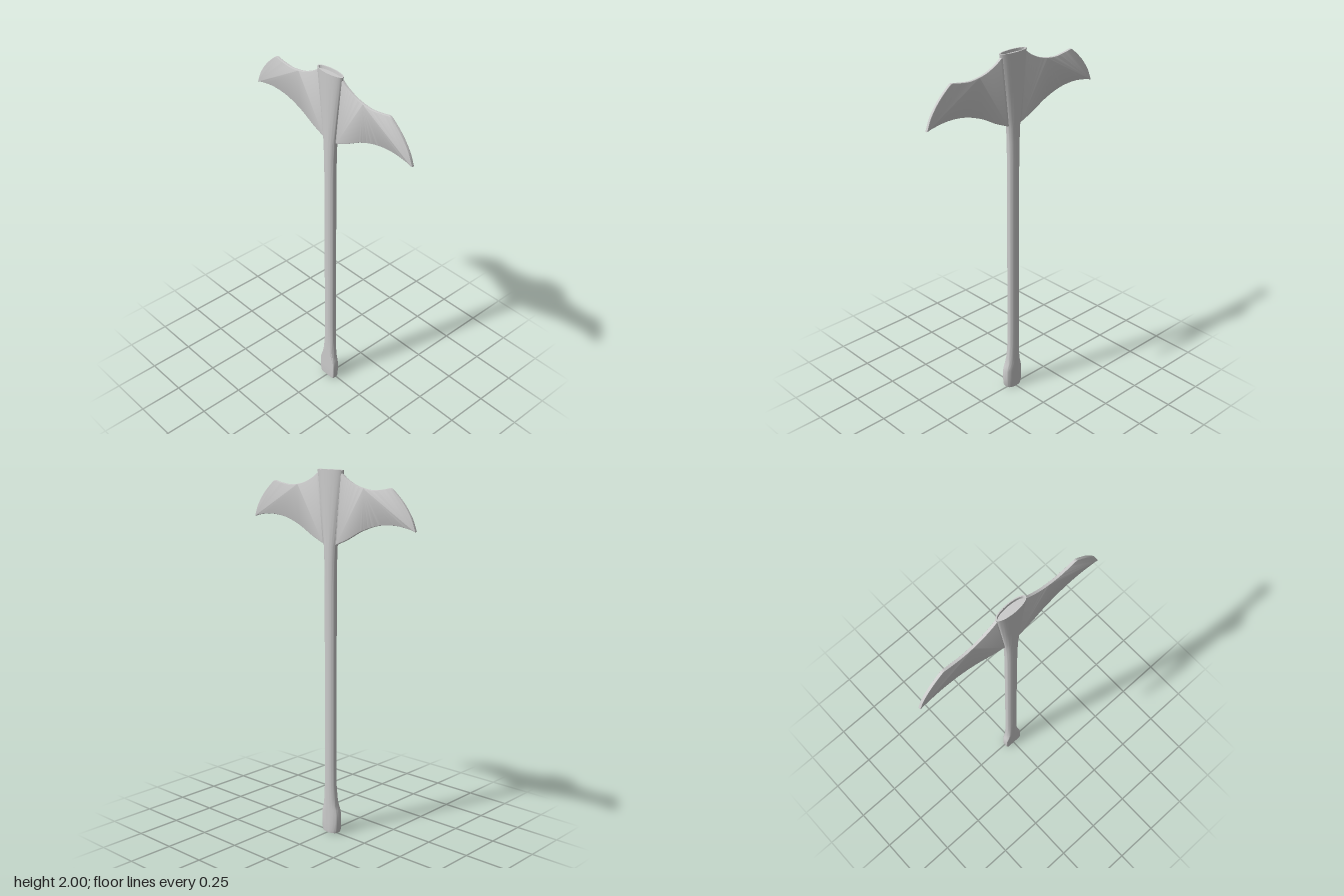
import * as THREE from 'three';
import { toCreasedNormals } from 'three/addons/utils/BufferGeometryUtils.js';

const material = new THREE.MeshStandardMaterial({ color: 0xcccccc, side: THREE.DoubleSide });

// Skin a stack of oval rings: [y, half width, half depth, front flatness (1 = oval)]
function loft(rings, sides = 40) {
  const pos = [], index = [];
  rings.forEach(([y, w, d, flat]) => {
    for (let i = 0; i < sides; i++) {
      const a = (i / sides) * Math.PI * 2, s = Math.sin(a);
      pos.push(w * Math.cos(a), y, s > 0 ? d * Math.min(1, s * flat) : d * s);
    }
  });
  for (let j = 0; j < rings.length - 1; j++) {
    for (let i = 0; i < sides; i++) {
      const n = (i + 1) % sides;
      const a = j * sides + i, b = j * sides + n, c = a + sides, e = b + sides;
      index.push(a, c, b, b, c, e);
    }
  }
  const g = new THREE.BufferGeometry();
  g.setAttribute('position', new THREE.Float32BufferAttribute(pos, 3));
  g.setIndex(index);
  return toCreasedNormals(g, 0.7);
}

// Half of the winged head, bevelled along its outline
function bladeGeometry() {
  const v = (list) => list.map(([x, y]) => new THREE.Vector2(x, y));
  const s = new THREE.Shape();
  s.moveTo(0.02, 1.98);
  s.lineTo(0.085, 1.98);
  s.splineThru(v([[0.125, 1.952], [0.195, 1.922], [0.28, 1.908], [0.35, 1.914], [0.40, 1.924]]));
  s.splineThru(v([[0.42, 1.916], [0.485, 1.857], [0.535, 1.79], [0.562, 1.727]]));
  s.splineThru(v([[0.52, 1.738], [0.43, 1.748], [0.325, 1.738], [0.22, 1.703], [0.125, 1.653], [0.045, 1.618]]));
  s.lineTo(0.02, 1.618);
  const bevel = 0.004;
  const g = new THREE.ExtrudeGeometry(s, {
    depth: 0.008, curveSegments: 24, bevelEnabled: true,
    bevelThickness: bevel, bevelSize: bevel, bevelOffset: -0.001, bevelSegments: 2,
  });
  g.translate(0, 0, -0.007);
  return toCreasedNormals(g, 0.6);
}

export function createModel() {
  const group = new THREE.Group();
  group.name = 'doubleBladedAxe';

  // Handle, from the hollowed pommel up to the flared, recessed socket
  const handle = new THREE.Mesh(loft([
    [0.02, 0.001, 0.001, 1], [0.02, 0.044, 0.02, 3], [0.0, 0.05, 0.026, 3],
    [0.015, 0.056, 0.027, 3], [0.06, 0.059, 0.027, 3], [0.11, 0.059, 0.027, 3],
    [0.135, 0.053, 0.027, 2.5], [0.16, 0.046, 0.027, 1.8], [0.20, 0.041, 0.027, 1.3],
    [0.28, 0.037, 0.027, 1], [0.4, 0.036, 0.027, 1], [1.4, 0.036, 0.027, 1],
    [1.52, 0.038, 0.028, 1], [1.6, 0.042, 0.028, 1], [1.65, 0.047, 0.028, 1],
    [1.8, 0.065, 0.028, 1], [2.0, 0.09, 0.028, 1],
    [2.0, 0.082, 0.022, 1], [1.985, 0.078, 0.02, 1], [1.985, 0.001, 0.001, 1],
  ]), material);
  handle.name = 'handle';
  group.add(handle);

  // Mirrored blades; a half turn keeps the faces outward
  const geometry = bladeGeometry();
  for (const side of [1, -1]) {
    const blade = new THREE.Mesh(geometry, material);
    blade.name = side > 0 ? 'leftBlade' : 'rightBlade';
    if (side < 0) {
      blade.rotation.y = Math.PI;
      blade.position.z = -0.006;
    }
    group.add(blade);
  }
  return group;
}
